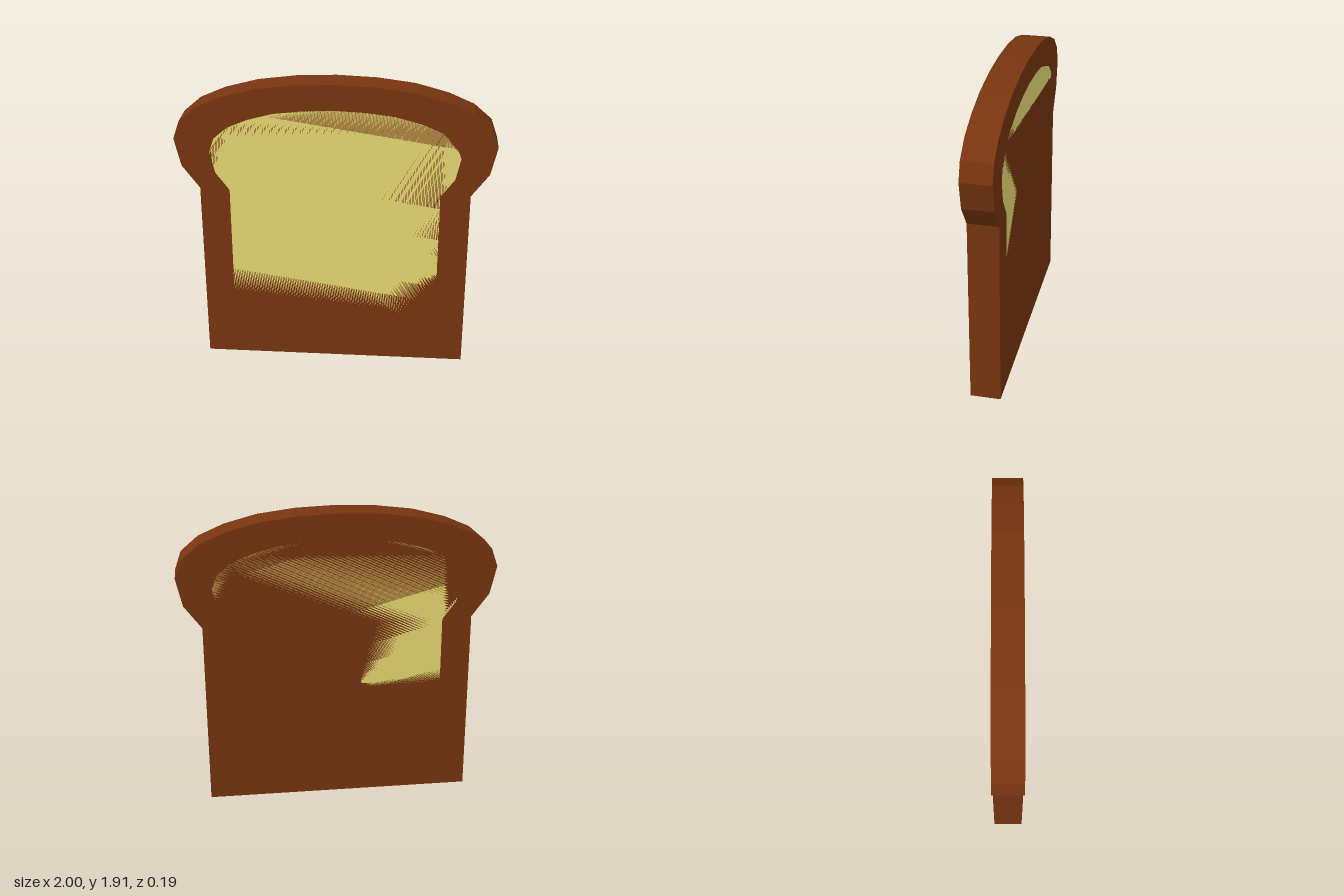
import * as THREE from 'three';

const HALF_DEPTH = 0.095;

// Right half of the slice outline, from the bottom corner up to the crown
const HALF_OUTLINE = [
  [0.85, 0], [0.85, 1.21], [0.96, 1.36], [1, 1.54], [0.96, 1.655],
  [0.85, 1.75], [0.69, 1.82], [0.485, 1.875], [0.25, 1.905], [0, 1.915],
];

// Mirror half an outline into a closed list of points
function mirrored(half) {
  const right = half.map(([x, y]) => new THREE.Vector2(x, y));
  const left = half.slice(0, -1).reverse().map(([x, y]) => new THREE.Vector2(-x, y));
  return [...right, ...left];
}

function slab(name, points, color) {
  const geometry = new THREE.ExtrudeGeometry(new THREE.Shape(points), {
    depth: HALF_DEPTH * 2, bevelEnabled: false,
  });
  geometry.translate(0, 0, -HALF_DEPTH);
  const material = new THREE.MeshStandardMaterial({ color, flatShading: true });
  const mesh = new THREE.Mesh(geometry, material);
  mesh.name = name;
  return mesh;
}

export function createModel() {
  const group = new THREE.Group();
  group.name = 'breadSlice';

  // Dark brown crust body
  group.add(slab('crust', mirrored(HALF_OUTLINE), 0x78350f));

  // Pale crumb: a smaller slice, flush with the crust on both faces
  const crumbHalf = HALF_OUTLINE.map(([x, y]) => [x * 0.78, y === 0 ? 0.165 : y * 0.78 + 0.257]);
  group.add(slab('crumb', mirrored(crumbHalf), 0xe9dd74));

  return group;
}
